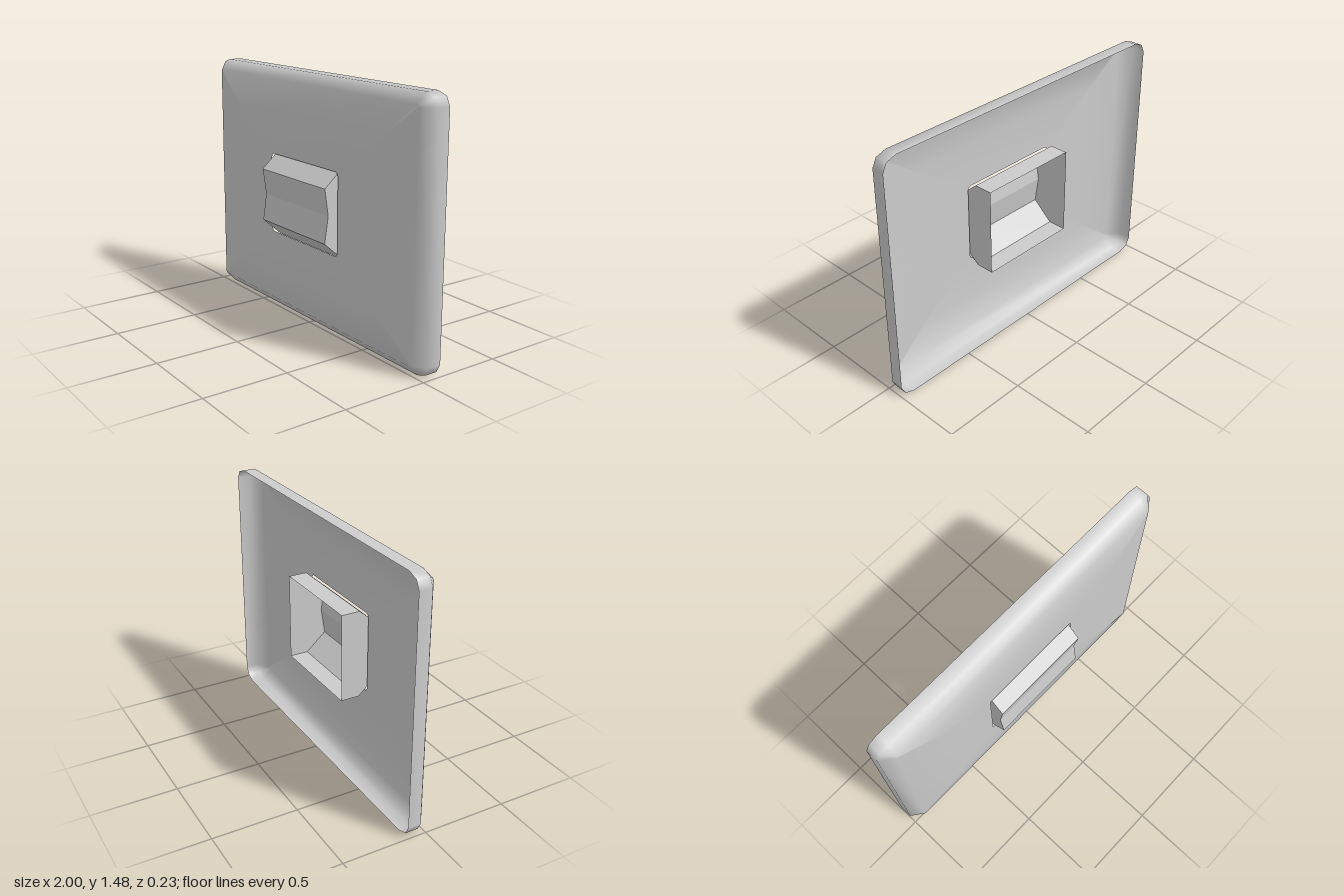
import * as THREE from 'three';

const CY = 0.7375; // height of the plate centre
const material = new THREE.MeshStandardMaterial({ color: 0xcccccc, side: THREE.DoubleSide });

// Rounded rectangle ring, three points per corner, counter-clockwise from the front
function ring({ w, h, rx, ry, z }) {
  const points = [];
  [[1, 1], [-1, 1], [-1, -1], [1, -1]].forEach(([sx, sy], corner) => {
    for (let k = 0; k < 3; k++) {
      const a = (corner + k / 2) * Math.PI / 2;
      points.push([sx * (w - rx) + rx * Math.cos(a), CY + sy * (h - ry) + ry * Math.sin(a), z]);
    }
  });
  return points;
}

// Skin joining successive rings, smooth shaded
function loft(rings) {
  const n = rings[0].length, index = [];
  for (let i = 0; i < rings.length - 1; i++) {
    for (let j = 0; j < n; j++) {
      const a = i * n + j, b = i * n + (j + 1) % n;
      index.push(a, b, b + n, a, b + n, a + n);
    }
  }
  const geometry = new THREE.BufferGeometry();
  geometry.setAttribute('position', new THREE.Float32BufferAttribute(rings.flat(2), 3));
  geometry.setIndex(index);
  geometry.computeVertexNormals();
  return geometry;
}

function addMesh(group, name, geometry) {
  const mesh = new THREE.Mesh(geometry, material);
  mesh.name = name;
  group.add(mesh);
}

export function createModel() {
  const model = new THREE.Group();
  model.name = 'wallSwitch';

  // Hollow cover plate: rim, bevel, gentle slope, flat centre with a window
  addMesh(model, 'coverPlate', loft([
    { w: 1.0, h: 0.7375, rx: 0.085, ry: 0.07, z: -0.112 },
    { w: 1.0, h: 0.7375, rx: 0.085, ry: 0.07, z: -0.035 },
    { w: 0.925, h: 0.677, rx: 0.012, ry: 0.01, z: 0.021 },
    { w: 0.68, h: 0.485, rx: 0.01, ry: 0.01, z: 0.041 },
    { w: 0.322, h: 0.239, rx: 0.022, ry: 0.022, z: 0.041 },
  ].map(ring)));

  // Rocker profile as [z, y], top back to bottom back
  const half = [[-0.117, 0.262], [-0.005, 0.262], [0.117, 0.155]];
  const profile = [...half, [0.094, 0], ...half.map(([z, y]) => [z, -y]).reverse()]
    .map(([z, y]) => [z, CY + y]);
  const halfWidth = 0.308;
  const rocker = new THREE.Group();
  rocker.name = 'rocker';
  model.add(rocker);

  // Rocker face: a strip bent along the profile, flat shaded, open at the back
  const strip = new THREE.PlaneGeometry(halfWidth * 2, 1, 1, profile.length - 1);
  const pos = strip.attributes.position;
  for (let i = 0; i < pos.count; i++) {
    const [z, y] = profile[Math.floor(i / 2)];
    pos.setXYZ(i, pos.getX(i), y, z);
  }
  const face = strip.toNonIndexed();
  face.computeVertexNormals();
  addMesh(rocker, 'rockerFace', face);

  // Rocker side walls
  for (const side of [-1, 1]) {
    const shape = new THREE.Shape(profile.map(([z, y]) => new THREE.Vector2(-side * z, y)));
    const wall = new THREE.ShapeGeometry(shape);
    wall.rotateY(side * Math.PI / 2).translate(side * halfWidth, 0, 0);
    addMesh(rocker, side > 0 ? 'leftWall' : 'rightWall', wall);
  }
  return model;
}
